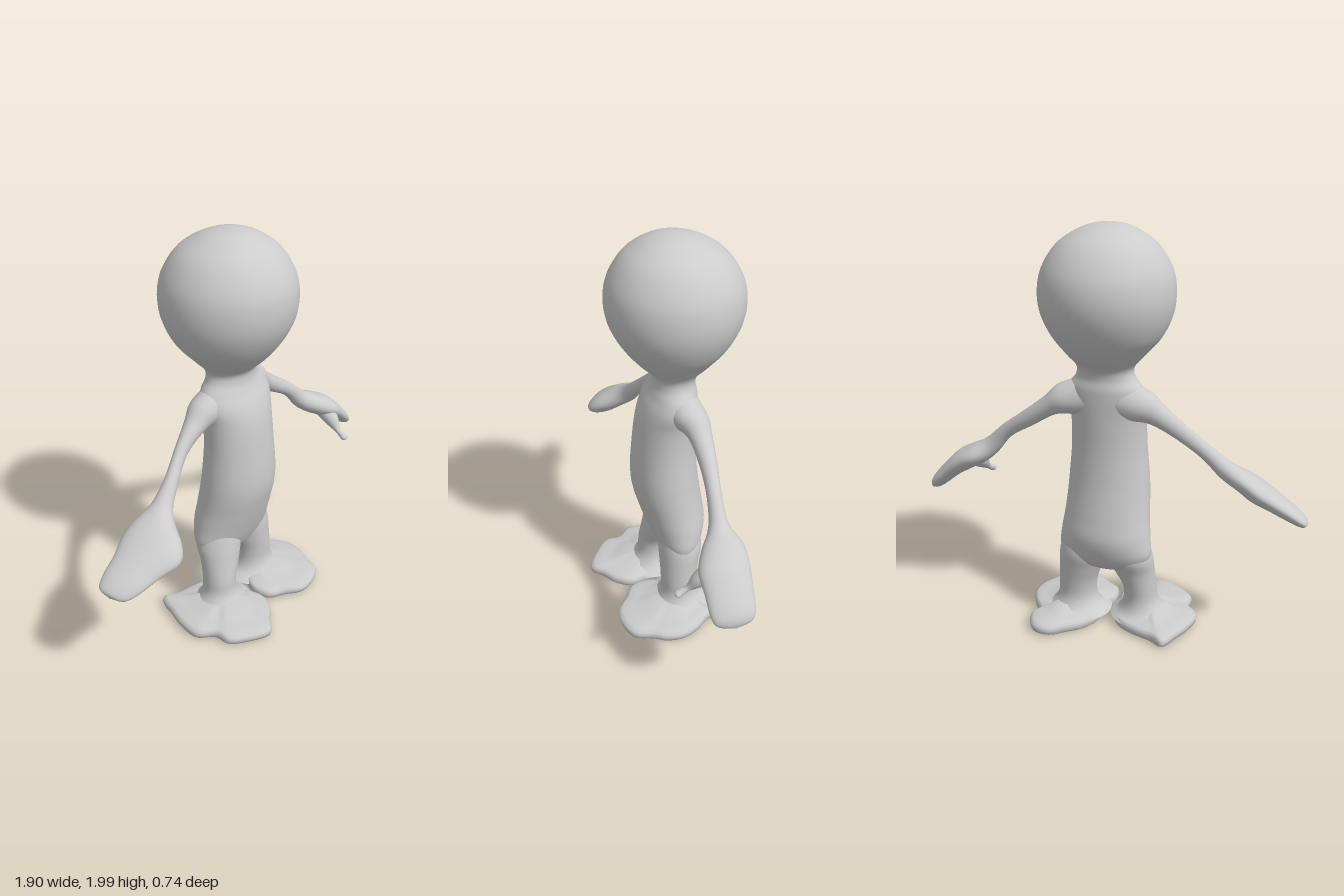
import * as THREE from 'three';

const material = new THREE.MeshStandardMaterial({ color: 0xcccccc, side: THREE.DoubleSide });
const V = (x, y, z) => new THREE.Vector3(x, y, z);

// Builds a smooth closed-ring skin from rows of points; columns wrap around without a seam
function skin(name, rings) {
  const n = rings[0].length, pos = [], index = [];
  rings.forEach(r => r.forEach(p => pos.push(p.x, p.y, p.z)));
  for (let i = 0; i < rings.length - 1; i++) {
    for (let j = 0; j < n; j++) {
      const a = i * n + j, b = i * n + (j + 1) % n;
      index.push(a, b, b + n, a, b + n, a + n);
    }
  }
  const geo = new THREE.BufferGeometry();
  geo.setAttribute('position', new THREE.Float32BufferAttribute(pos, 3));
  geo.setIndex(index);
  geo.computeVertexNormals();
  const mesh = new THREE.Mesh(geo, material);
  mesh.name = name;
  return mesh;
}

// Lofts ellipses [x, y, z, half width, half depth] that all lie across one travel direction
function loft(name, sections, travel, wide, sides = 40, perSpan = 5) {
  const t = travel.clone().normalize();
  const u = wide.clone().addScaledVector(t, -wide.dot(t)).normalize();
  const v = t.clone().cross(u);
  const path = new THREE.CatmullRomCurve3(sections.map(s => V(s[0], s[1], s[2])), false, 'catmullrom');
  const size = new THREE.CatmullRomCurve3(sections.map(s => V(s[3], s[4], 0)), false, 'catmullrom');
  const steps = (sections.length - 1) * perSpan, rings = [];
  for (let i = 0; i <= steps; i++) {
    const c = path.getPoint(i / steps), r = size.getPoint(i / steps);
    rings.push(Array.from({ length: sides }, (_, j) => {
      const k = j / sides * Math.PI * 2;
      return c.clone()
        .addScaledVector(u, Math.max(0, r.x) * Math.cos(k))
        .addScaledVector(v, Math.max(0, r.y) * Math.sin(k));
    }));
  }
  return skin(name, rings);
}

// Flat wavy foot: the outline [x, z] shrinks toward the ankle on top and closes below
function foot(name, outline, ankle) {
  const curve = new THREE.CatmullRomCurve3(outline.map(p => V(p[0], 0, p[1])), true);
  const edge = curve.getPoints(72).slice(0, 72);
  const levels = [[0, 0.012], [0.6, 0.012], [0.93, 0.012], [0.985, 0.022], [1, 0.04],
    [0.98, 0.056], [0.92, 0.066], [0.75, 0.072], [0.55, 0.08], [0.4, 0.1], [0, 0.11]];
  return skin(name, levels.map(([s, y]) => edge.map(p =>
    V(ankle[0] + (p.x - ankle[0]) * s, y, ankle[1] + (p.z - ankle[1]) * s))));
}

export function createModel() {
  const model = new THREE.Group();
  model.name = 'figure';

  // Torso, neck and head as one continuous skin
  model.add(loft('body', [
    [0, 0.31, -0.05, 0, 0], [0, 0.335, -0.05, 0.15, 0.075], [0, 0.4, -0.055, 0.232, 0.118],
    [0, 0.5, -0.05, 0.228, 0.15], [0, 0.6, -0.03, 0.215, 0.16], [0, 0.7, -0.01, 0.207, 0.165],
    [0, 0.8, 0, 0.2, 0.162], [0, 0.95, 0, 0.187, 0.152], [0, 1.1, -0.01, 0.186, 0.142],
    [0, 1.19, -0.025, 0.2, 0.128], [0, 1.25, -0.04, 0.185, 0.112], [0, 1.3, -0.045, 0.146, 0.1],
    [0, 1.35, -0.05, 0.14, 0.112], [-0.005, 1.41, -0.053, 0.185, 0.178],
    [-0.01, 1.5, -0.055, 0.258, 0.25], [-0.01, 1.6, -0.055, 0.302, 0.3],
    [-0.01, 1.7, -0.055, 0.313, 0.316], [-0.01, 1.8, -0.053, 0.294, 0.298],
    [-0.01, 1.9, -0.05, 0.232, 0.235], [-0.01, 1.96, -0.045, 0.15, 0.152],
    [-0.01, 1.99, -0.04, 0.075, 0.075], [-0.01, 2, -0.04, 0, 0],
  ], V(0, 1, 0), V(1, 0, 0), 48));

  // Legs, flaring into the feet
  model.add(loft('leftLeg', [
    [0.165, 0.05, -0.04, 0.18, 0.17], [0.162, 0.085, -0.04, 0.125, 0.118], [0.158, 0.14, -0.04, 0.098, 0.092],
    [0.153, 0.22, -0.042, 0.098, 0.092], [0.135, 0.31, -0.048, 0.11, 0.1],
    [0.118, 0.4, -0.055, 0.118, 0.108], [0.11, 0.52, -0.05, 0.09, 0.09],
  ], V(0, 1, 0), V(1, 0, 0)));
  model.add(loft('rightLeg', [
    [-0.175, 0.05, 0.03, 0.17, 0.17], [-0.17, 0.085, 0.022, 0.12, 0.115], [-0.165, 0.14, 0.015, 0.088, 0.088],
    [-0.16, 0.22, 0.008, 0.085, 0.088], [-0.135, 0.31, -0.01, 0.105, 0.095],
    [-0.118, 0.4, -0.035, 0.118, 0.108], [-0.11, 0.52, -0.04, 0.09, 0.09],
  ], V(0, 1, 0), V(1, 0, 0)));

  // Splayed feet
  model.add(foot('leftFoot', [
    [0.13, -0.27], [0.2, -0.33], [0.28, -0.32], [0.34, -0.22], [0.32, -0.17], [0.39, -0.08],
    [0.425, 0], [0.42, 0.09], [0.39, 0.15], [0.36, 0.24], [0.27, 0.285], [0.18, 0.285],
    [0.1, 0.23], [0.03, 0.19], [0.005, 0.1], [0.04, 0], [0.02, -0.1], [0.06, -0.2],
  ], [0.17, -0.04]));
  model.add(foot('rightFoot', [
    [-0.2, -0.16], [-0.29, -0.18], [-0.36, -0.21], [-0.4, -0.11], [-0.43, -0.01], [-0.435, 0.1],
    [-0.37, 0.17], [-0.36, 0.25], [-0.29, 0.31], [-0.17, 0.365], [-0.11, 0.31], [-0.05, 0.26],
    [-0.005, 0.18], [-0.03, 0.06], [-0.04, -0.04], [-0.1, -0.12],
  ], [-0.18, 0.05]));

  // Arms ending in flat mitten hands
  model.add(loft('leftArm', [
    [0.08, 1.2, -0.06, 0.09, 0.1], [0.18, 1.175, -0.08, 0.085, 0.085], [0.26, 1.14, -0.105, 0.055, 0.052],
    [0.38, 1.06, -0.112, 0.04, 0.042], [0.5, 0.98, -0.105, 0.034, 0.036], [0.59, 0.89, -0.1, 0.046, 0.045],
    [0.67, 0.835, -0.095, 0.095, 0.056], [0.75, 0.79, -0.08, 0.115, 0.058],
    [0.83, 0.73, -0.08, 0.108, 0.047], [0.9, 0.665, -0.08, 0.1, 0.038],
    [0.928, 0.63, -0.08, 0.075, 0.025], [0.94, 0.615, -0.08, 0, 0],
  ], V(0.78, -0.62, 0), V(0, 0, 1), 28));
  model.add(loft('leftThumb', [
    [0.74, 0.78, -0.04, 0.05, 0.05], [0.735, 0.73, 0.03, 0.035, 0.035], [0.73, 0.69, 0.07, 0.015, 0.015],
    [0.728, 0.672, 0.1, 0.016, 0.016], [0.73, 0.66, 0.122, 0.02, 0.016], [0.73, 0.655, 0.13, 0, 0],
  ], V(0, -0.6, 0.8), V(1, 0, 0), 16));
  model.add(loft('rightArm', [
    [-0.08, 1.2, -0.05, 0.09, 0.1], [-0.18, 1.17, -0.05, 0.08, 0.085], [-0.26, 1.135, -0.04, 0.052, 0.055],
    [-0.37, 1.06, -0.02, 0.032, 0.04], [-0.48, 0.965, 0.02, 0.034, 0.036], [-0.57, 0.88, 0.05, 0.056, 0.046],
    [-0.65, 0.815, 0.1, 0.125, 0.055], [-0.71, 0.77, 0.118, 0.145, 0.058],
    [-0.8, 0.725, 0.115, 0.115, 0.048], [-0.88, 0.685, 0.11, 0.095, 0.038],
    [-0.935, 0.655, 0.105, 0.065, 0.024], [-0.95, 0.645, 0.105, 0, 0],
  ], V(-0.78, -0.62, 0.1), V(0.1, -0.35, 1), 28));

  return model;
}
